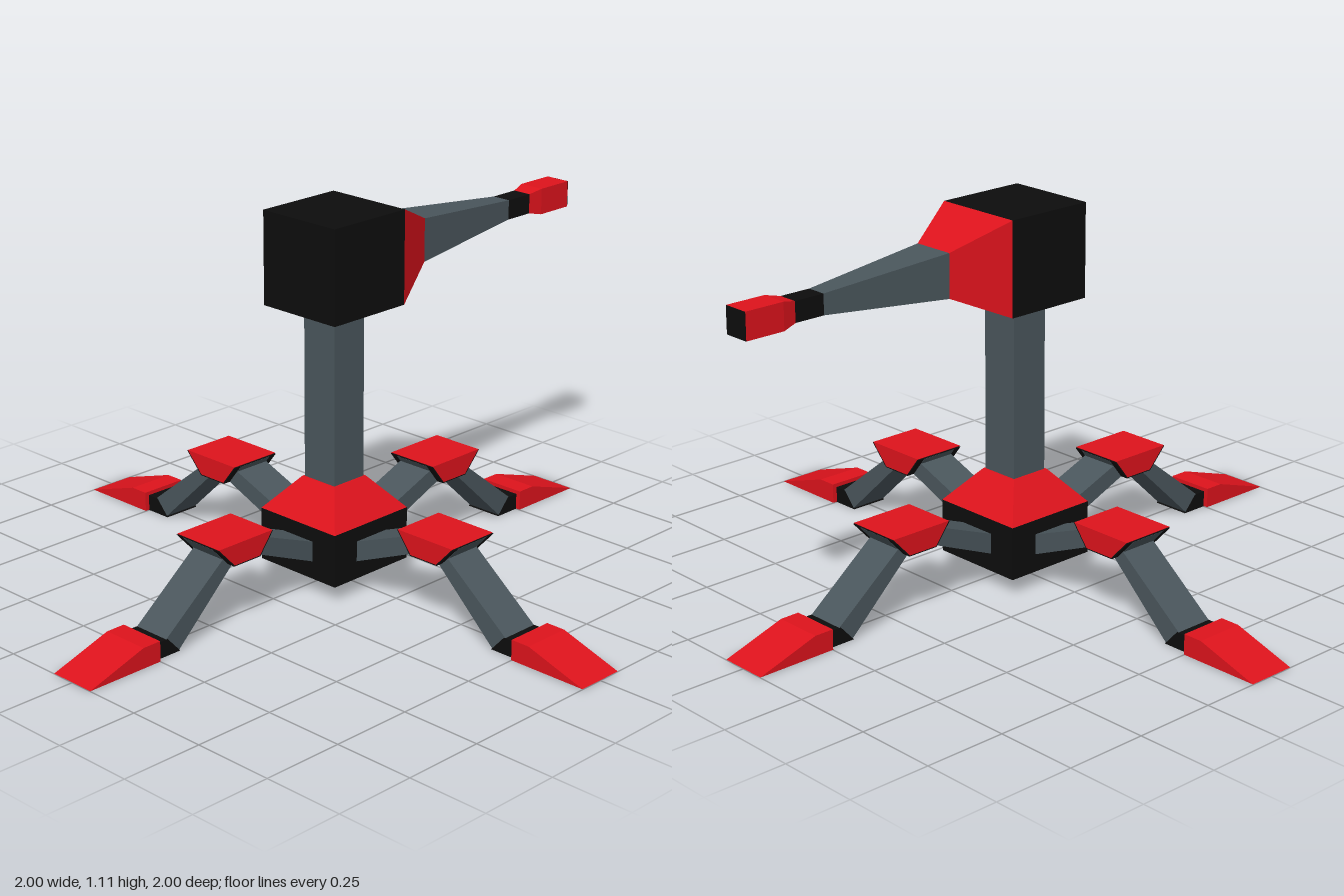
import * as THREE from 'three';

const paint = (color) => new THREE.MeshStandardMaterial({ color, flatShading: true });
const red = paint(0xdd131c), black = paint(0x0d0d0d), grey = paint(0x4a565c);

function part(name, geometry, material) {
  const mesh = new THREE.Mesh(geometry, material);
  mesh.name = name;
  return mesh;
}

// Square frustum along y, from half-width a at y0 to half-width b at y1
function frustum(a, y0, b, y1) {
  return new THREE.CylinderGeometry(b * Math.SQRT2, a * Math.SQRT2, y1 - y0, 4)
    .rotateY(Math.PI / 4)
    .translate(0, (y0 + y1) / 2, 0);
}

// Side profile in x/y, extruded across z to the given half-width
function prism(points, halfWidth) {
  const shape = new THREE.Shape(points.map(([x, y]) => new THREE.Vector2(x, y)));
  return new THREE.ExtrudeGeometry(shape, { depth: halfWidth * 2, bevelEnabled: false })
    .translate(0, 0, -halfWidth);
}

// Leg reaching out along +x
function createLeg() {
  const leg = new THREE.Group();
  leg.name = 'leg';
  const sole = new THREE.PlaneGeometry(0.25, 0.15).rotateX(Math.PI / 2).translate(0.875, 0, 0);
  leg.add(
    part('upperLeg', prism([[0.14, 0.1], [0.38, 0.2], [0.38, 0.255], [0.14, 0.162]], 0.06), grey),
    part('kneeCap', prism([[0.382, 0.203], [0.478, 0.203], [0.537, 0.266], [0.333, 0.266]], 0.085), red),
    // Dark lining around the ends and underside of the knee
    part('kneeLining', prism([[0.33, 0.264], [0.38, 0.2], [0.48, 0.2], [0.54, 0.264],
      [0.53, 0.264], [0.47, 0.21], [0.39, 0.21], [0.34, 0.264]], 0.0845), black),
    part('kneeJoint', prism([[0.379, 0.199], [0.481, 0.199], [0.539, 0.262], [0.331, 0.262]], 0.06), grey),
    part('lowerLeg', prism([[0.46, 0.2], [0.67, 0.002], [0.715, 0.05], [0.5, 0.22]].map(([x, y]) =>
      [x, y]), 0.06), grey),
    part('ankle', prism([[0.665, 0], [0.76, 0], [0.76, 0.05], [0.71, 0.05]], 0.0605), black),
    part('foot', prism([[0.75, 0.001], [1, 0.001], [0.81, 0.062], [0.75, 0.062]], 0.075), red),
    part('sole', sole, black),
  );
  return leg;
}

export function createModel() {
  const model = new THREE.Group();
  model.name = 'walkerTurret';

  // Hub and mast
  model.add(
    part('hub', frustum(0.15, 0.05, 0.15, 0.21), black),
    part('hubCollar', frustum(0.15, 0.21, 0.065, 0.31), red),
    part('mast', frustum(0.06, 0.3, 0.06, 0.84), grey),
    part('head', new THREE.BoxGeometry(0.28, 0.28, 0.28).translate(0, 0.97, 0), black),
  );

  // Four legs around the hub
  for (let i = 0; i < 4; i++) {
    const leg = createLeg();
    leg.rotation.y = i * Math.PI / 2;
    model.add(leg);
  }

  // Barrel built upward, then laid back along -z
  const barrel = new THREE.Group();
  barrel.name = 'barrel';
  barrel.add(
    part('barrelBase', frustum(0.14, 0.14, 0.065, 0.305), red),
    part('barrelTube', frustum(0.065, 0.305, 0.03, 0.715), grey),
    part('barrelNeck', frustum(0.03, 0.715, 0.03, 0.815), black),
    part('muzzleFlare', frustum(0.03, 0.81, 0.04, 0.855), red),
    part('muzzle', frustum(0.04, 0.855, 0.04, 0.978), red),
    part('muzzleFace', frustum(0.0395, 0.97, 0.0395, 0.98), black),
  );
  barrel.rotation.x = -Math.PI / 2;
  barrel.position.y = 0.97;
  model.add(barrel);

  return model;
}
